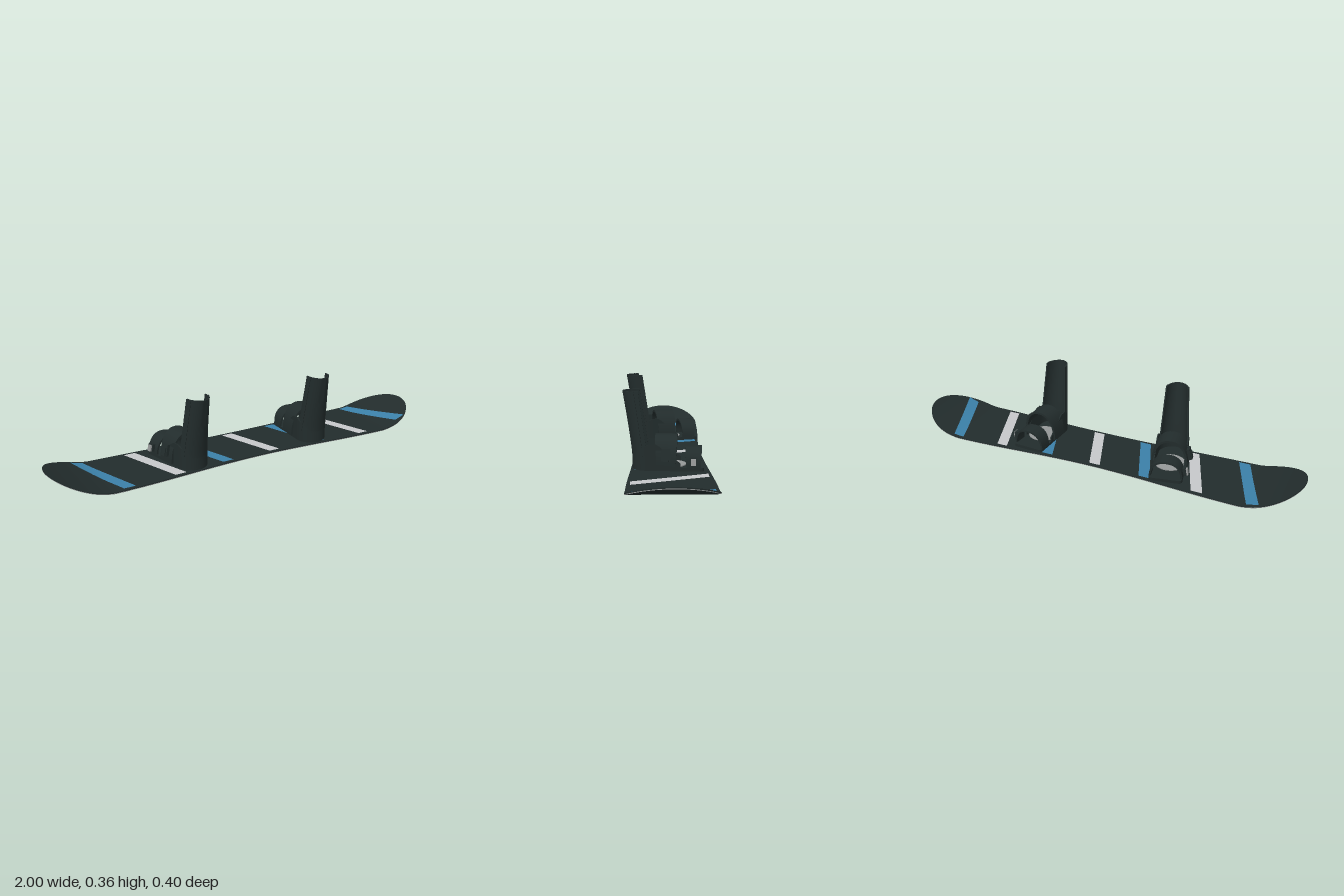
import * as THREE from 'three';
import { toCreasedNormals } from 'three/addons/utils/BufferGeometryUtils.js';

const mat = (name, color) => {
  const m = new THREE.MeshStandardMaterial({ color, side: THREE.DoubleSide });
  m.name = name;
  return m;
};
const V = (x, y, z) => new THREE.Vector3(x, y, z);

function add(parent, name, geometry, material) {
  const mesh = new THREE.Mesh(geometry, material);
  mesh.name = name;
  parent.add(mesh);
  return mesh;
}

// Surface through rows of points; closed rows form tubes with capped ends
function loft(rows, closed = false) {
  const n = rows[0].length, pos = [];
  const quad = (a, b, c, d) => [a, b, c, a, c, d].forEach(p => pos.push(p.x, p.y, p.z));
  for (let r = 0; r < rows.length - 1; r++) {
    for (let i = 0; i < (closed ? n : n - 1); i++) {
      const j = (i + 1) % n;
      quad(rows[r][i], rows[r][j], rows[r + 1][j], rows[r + 1][i]);
    }
  }
  if (closed) {
    for (let i = 0; i < n / 2 - 1; i++) {
      const a = rows[0], b = rows[rows.length - 1], k = n - 1 - i;
      quad(a[k], a[k - 1], a[i + 1], a[i]);
      quad(b[i], b[i + 1], b[k - 1], b[k]);
    }
  }
  const g = new THREE.BufferGeometry();
  g.setAttribute('position', new THREE.Float32BufferAttribute(pos, 3));
  return toCreasedNormals(g, 0.6);
}

const steps = (n, f) => Array.from({ length: n + 1 }, (_, i) => f(i / n));

// Board outline and rocker
const MID_Z = -0.01, THICK = 0.008;
function halfWidth(x) {
  const a = Math.abs(x);
  if (a > 0.8) return 0.19 * Math.sqrt(Math.max(0, 1 - ((a - 0.8) / 0.2) ** 2));
  return 0.16 + 0.015 * (1 - Math.cos(Math.PI * a / 0.8));
}
function rocker(x) {
  const a = Math.abs(x);
  const camber = a < 0.7 ? 0.0025 * (1 + Math.cos(Math.PI * a / 0.7)) : 0;
  return camber + 0.083 * Math.max(0, (a - 0.74) / 0.26) ** 1.5;
}

function buildBoard(m) {
  const board = new THREE.Group();
  board.name = 'board';
  // Stations crowd together toward the round tips
  const xs = steps(160, t => Math.sin((t - 0.5) * Math.PI));
  const edge = (x, side, h) => V(x, rocker(x) + h, MID_Z + side * halfWidth(x));
  const strip = (s0, h0, s1, h1) => loft(xs.map(x => [edge(x, s0, h0), edge(x, s1, h1)]));
  add(board, 'topSheet', strip(-1, THICK, 1, THICK), m.dark);
  add(board, 'base', strip(1, 0, -1, 0), m.dark);
  for (const s of [-1, 1]) {
    add(board, 'metalEdge', strip(s, 0, s, 0.003), m.grey);
    add(board, 'sidewall', strip(s, 0.003, s, THICK), m.dark);
  }
  // Slanted stripes that follow the curve of the deck
  for (let k = 0; k < 7; k++) {
    const cx = -0.737 + k * 0.259, slope = 0.373;
    const z0 = 0.015 - halfWidth(cx - 0.06), z1 = halfWidth(cx + 0.06) - 0.015;
    const rows = steps(24, v => steps(4, u => {
      const z = z0 + (z1 - z0) * v;
      const x = cx + (u - 0.5) * 0.056 + slope * z;
      return V(x, rocker(x) + THICK + 0.0015, MID_Z + z);
    }));
    add(board, 'deckStripe', loft(rows).rotateX(0), k % 2 ? m.white : m.blue);
  }
  return board;
}

// Arched strap of rectangular section
function strapGeometry(rx, top, z, width, thick) {
  const y0 = 0.025;
  return loft(steps(28, t => {
    const a = Math.PI * t, w = width * (0.42 + 0.08 * Math.sin(a));
    const p = (off, dz) => V(
      Math.sign(Math.cos(a)) * Math.abs(Math.cos(a)) ** 0.85 * (rx - off),
      y0 + Math.sin(a) ** 0.85 * (top - y0 - off), z + dz);
    return [p(0, -w), p(0, w), p(thick, w), p(thick, -w)];
  }), true);
}

// Highback shell point: t runs up, a runs round the back, off thickens
function highbackPoint(t, a, off) {
  const hw = 0.073 - 0.018 * t - off;
  const front = 0.085 + 0.042 * t;
  const back = 0.157 + 0.043 * t ** 1.2 - off;
  return V(hw * Math.cos(a), 0.07 + 0.29 * t, front + (back - front) * Math.sin(a));
}
const highbackShell = (a0, a1, outer, inner) => loft(steps(14, t => [
  ...steps(20, u => highbackPoint(t, a0 + (a1 - a0) * u, outer)),
  ...steps(20, u => highbackPoint(t, a1 + (a0 - a1) * u, inner)),
]), true);

function buildBinding(m, side) {
  const binding = new THREE.Group();
  binding.name = side < 0 ? 'rightBinding' : 'leftBinding';

  // Base plate with a round heel
  const s = new THREE.Shape();
  s.moveTo(-0.06, -0.165);
  s.lineTo(0.06, -0.165);
  s.quadraticCurveTo(0.08, -0.165, 0.08, -0.14);
  s.lineTo(0.074, 0.08);
  s.absellipse(0, 0.08, 0.074, 0.076, 0, Math.PI, false);
  s.lineTo(-0.08, -0.14);
  s.quadraticCurveTo(-0.08, -0.165, -0.06, -0.165);
  const plate = new THREE.ExtrudeGeometry(s, { depth: 0.015, bevelEnabled: false, curveSegments: 16 });
  plate.rotateX(Math.PI / 2).translate(0, 0.026, 0);
  add(binding, 'basePlate', plate, m.dark);
  const disc = add(binding, 'mountingDisc', new THREE.CylinderGeometry(0.075, 0.075, 0.004, 40), m.grey);
  disc.position.set(0, 0.028, -0.01);

  // Heel cup: side rails joined round the heel
  const cup = steps(36, t => {
    const straight = t < 0.25 ? 1 - t / 0.25 : t > 0.75 ? (t - 0.75) / 0.25 : 0;
    const a = Math.PI * THREE.MathUtils.clamp((t - 0.25) / 0.5, 0, 1);
    const h = straight > 0.25 ? 0.13 - 0.085 * (straight - 0.25) / 0.75 : 0.13 - 0.045 * Math.sin(a);
    const p = (off, y) => V((0.077 - off) * Math.cos(a), y, 0.08 - 0.14 * straight + (0.077 - off) * Math.sin(a));
    return [p(0, 0.015), p(0, h), p(0.006, h), p(0.006, 0.015)];
  });
  add(binding, 'heelCup', loft(cup, true), m.dark);

  // Highback with a raised rib on each flank
  add(binding, 'highback', highbackShell(0, Math.PI, 0, 0.006), m.dark);
  for (const a of [0.35, Math.PI - 0.35]) {
    add(binding, 'highbackRib', highbackShell(a - 0.08, a + 0.08, -0.003, 0.002), m.dark);
  }

  // Straps and their buckles
  add(binding, 'ankleStrap', strapGeometry(0.088, 0.165, 0.003, 0.1, 0.01), m.dark);
  add(binding, 'toeStrap', strapGeometry(0.079, 0.112, -0.118, 0.075, 0.009), m.dark);
  const box = (name, w, h, d, x, y, z, tilt, material) => {
    const b = add(binding, name, new THREE.BoxGeometry(w, h, d), material);
    b.position.set(side * x, y, z);
    b.rotation.z = side * tilt;
  };
  box('ankleBuckle', 0.014, 0.055, 0.04, 0.09, 0.085, 0.003, 0.2, m.dark);
  box('ankleLever', 0.008, 0.04, 0.026, 0.1, 0.078, 0.003, 0.2, m.dark);
  box('toeBuckle', 0.014, 0.036, 0.034, 0.086, 0.058, -0.118, 0.2, m.dark);
  box('toeLever', 0.008, 0.03, 0.022, 0.097, 0.056, -0.118, 0.2, m.grey);
  return binding;
}

export function createModel() {
  const m = {
    dark: mat('charcoal', 0x222c2c),
    blue: mat('stripe blue', 0x3b80a8),
    white: mat('stripe white', 0xc6c8ca),
    grey: mat('metal grey', 0x959898),
  };
  const model = new THREE.Group();
  model.name = 'snowboard';
  model.add(buildBoard(m));
  // Each binding is turned by its own stance angle
  for (const [side, x, angle] of [[-1, -0.347, 0.2], [1, 0.345, -0.06]]) {
    const binding = buildBinding(m, side);
    binding.position.x = x;
    binding.rotation.y = angle;
    model.add(binding);
  }
  return model;
}
